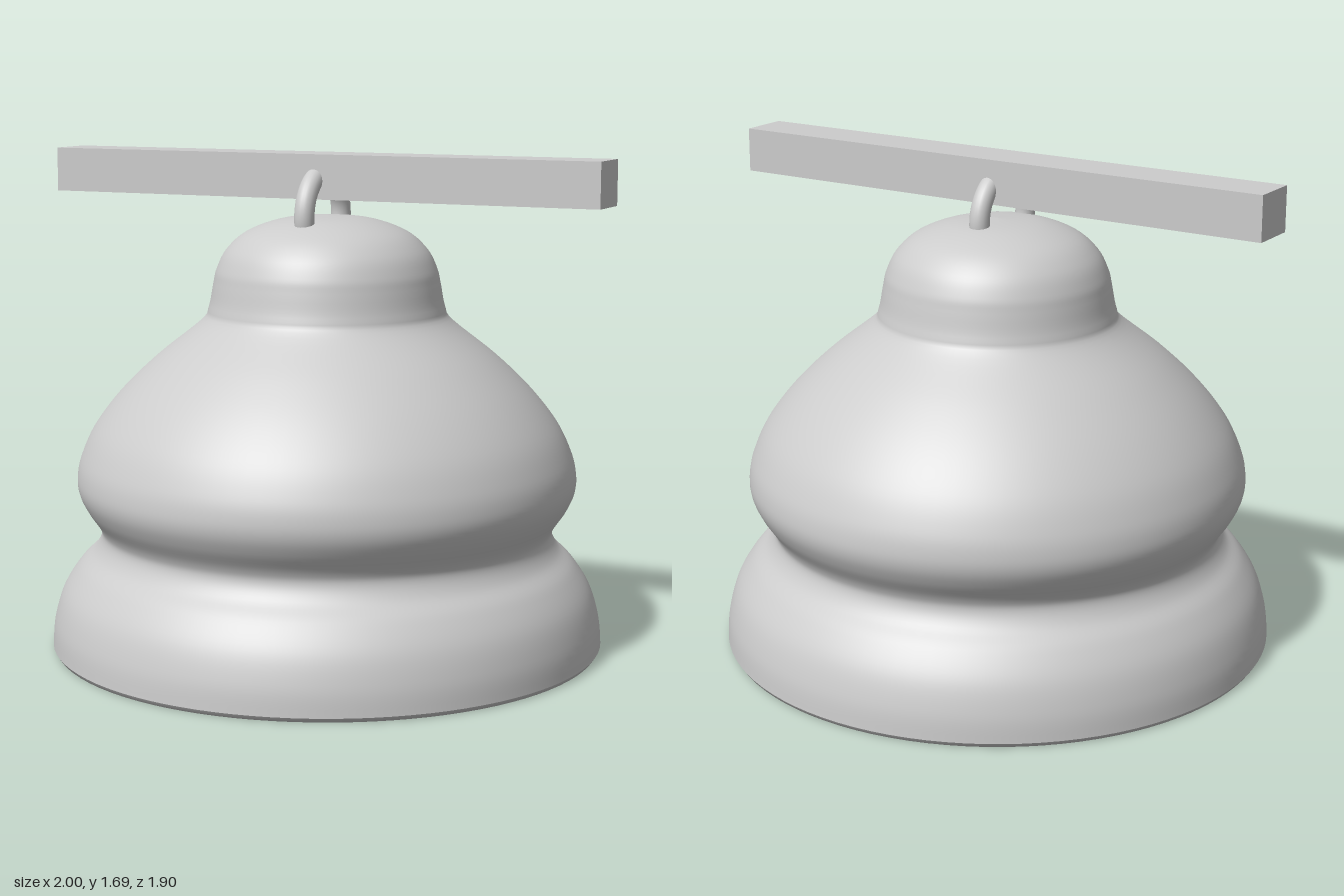
import * as THREE from 'three';

export function createModel() {
  const model = new THREE.Group();
  model.name = 'hangingBell';
  const metal = new THREE.MeshStandardMaterial({ color: 0xcccccc });
  metal.name = 'light grey';

  const add = (name, geometry, parent = model) => {
    const mesh = new THREE.Mesh(geometry, metal);
    mesh.name = name;
    parent.add(mesh);
    return mesh;
  };

  // Outer bell profile, from lip to crown
  const curve = new THREE.SplineCurve([
    [0.948, 0.015], [0.94, 0.1], [0.91, 0.2], [0.855, 0.285], [0.80, 0.34],
    [0.776, 0.39], [0.785, 0.43], [0.825, 0.49], [0.85, 0.545], [0.854, 0.6],
    [0.838, 0.67], [0.79, 0.77], [0.70, 0.885], [0.58, 1.0], [0.43, 1.12],
    [0.402, 1.17], [0.386, 1.25], [0.374, 1.3], [0.34, 1.365], [0.27, 1.425],
    [0.15, 1.467], [0, 1.48],
  ].map(([x, y]) => new THREE.Vector2(x, y)));

  // Inner profile: the outer one moved inward by the wall thickness
  const steps = 110, wall = 0.045;
  const outer = [], inner = [];
  for (let i = 0; i <= steps; i++) {
    const p = curve.getPoint(i / steps);
    const t = curve.getTangent(i / steps);
    outer.push(p);
    inner.unshift(new THREE.Vector2(Math.max(0, p.x - t.y * wall), p.y + t.x * wall));
  }
  outer[steps].x = 0;
  inner[0].x = 0;

  const lip = inner[steps];
  const rim = [lip, new THREE.Vector2(lip.x + 0.005, 0), new THREE.Vector2(0.938, 0), outer[0]];

  const bell = new THREE.Group();
  bell.name = 'bell';
  model.add(bell);
  add('bellOuterWall', new THREE.LatheGeometry(outer, 96), bell);
  add('bellInnerWall', new THREE.LatheGeometry(inner, 96), bell);
  add('bellRim', new THREE.LatheGeometry(rim, 96), bell);

  // Ring through the crown, looped around the beam
  const ring = add('hangingRing', new THREE.TorusGeometry(0.143, 0.034, 20, 64));
  ring.rotation.y = Math.PI / 2;
  ring.position.set(0, 1.478, 0.032);

  // Square beam
  const beam = add('beam', new THREE.BoxGeometry(2, 0.15, 0.17));
  beam.position.set(0, 1.613, 0.022);

  return model;
}
